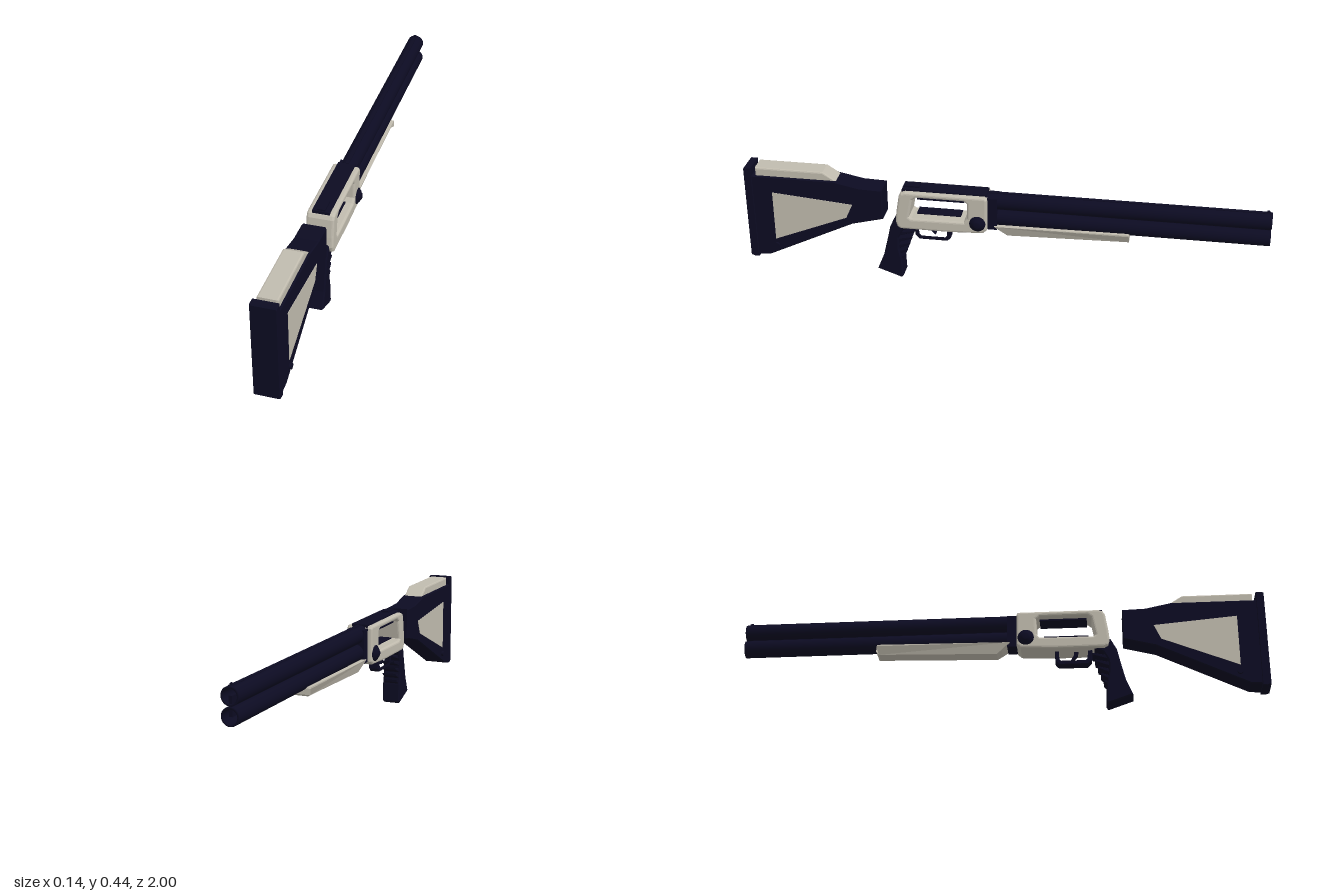
import * as THREE from 'three';

export function createModel() {
  const navy = new THREE.MeshStandardMaterial({ color: 0x0c0b22 });
  navy.name = 'dark navy';
  const beige = new THREE.MeshStandardMaterial({ color: 0xc0bbae });
  beige.name = 'warm beige';
  const model = new THREE.Group();
  model.name = 'shotgun';

  const add = (name, geometry, material) => {
    const mesh = new THREE.Mesh(geometry, material);
    mesh.name = name;
    model.add(mesh);
    return mesh;
  };
  const toPoints = (list) => list.map(([z, y]) => new THREE.Vector2(z, y));

  // Side profile of [z, y] points, extruded across x and centred on x = 0
  const profile = (points, width, bevel = 0, holes = [], segments = 1) => {
    const shape = new THREE.Shape(toPoints(points));
    for (const hole of holes) shape.holes.push(new THREE.Path(toPoints(hole)));
    const geometry = new THREE.ExtrudeGeometry(shape, {
      depth: width - 2 * bevel, bevelEnabled: bevel > 0, bevelSize: bevel,
      bevelThickness: bevel, bevelOffset: -bevel, bevelSegments: segments,
    });
    geometry.translate(0, 0, bevel - width / 2);
    return geometry.rotateY(-Math.PI / 2);
  };
  const box = (name, w, h, d, x, y, z, material) =>
    add(name, new THREE.BoxGeometry(w, h, d).translate(x, y, z), material);

  // Stock with butt pad and raised cheek rest
  add('stock', profile([
    [0.975, 0.06], [0.975, 0.408], [0.647, 0.408], [0.55, 0.388], [0.46, 0.385],
    [0.46, 0.262], [0.583, 0.23], [0.925, 0.064],
  ], 0.09, 0.004), navy);
  add('buttPad', profile([
    [1, 0.058], [1, 0.436], [0.995, 0.441], [0.97, 0.441], [0.968, 0.054], [0.985, 0.053],
  ], 0.094, 0.002), navy);
  add('cheekRest', profile([
    [0.957, 0.4], [0.957, 0.44], [0.69, 0.44], [0.63, 0.4],
  ], 0.076, 0.006, [], 2), beige);
  for (const side of [1, -1]) {
    add('stockPanel', profile([
      [0.893, 0.139], [0.893, 0.342], [0.578, 0.315], [0.604, 0.257],
    ], 0.004), beige).position.x = side * 0.0445;
  }
  add('slingPin', new THREE.CylinderGeometry(0.011, 0.011, 0.108, 16)
    .rotateZ(Math.PI / 2).translate(0, 0.112, 0.89), navy);

  // Receiver with an open window through both sides
  add('receiver', profile([
    [0.41, 0.26], [0.406, 0.3], [0.395, 0.368], [0.387, 0.381], [0.37, 0.387],
    [0.065, 0.387], [0.056, 0.378], [0.056, 0.25], [0.072, 0.236], [0.2, 0.23],
    [0.39, 0.23], [0.403, 0.238],
  ], 0.104, 0.009, [[
    [0.357, 0.283], [0.343, 0.356], [0.328, 0.367], [0.145, 0.367],
    [0.132, 0.356], [0.132, 0.294], [0.145, 0.278], [0.348, 0.276],
  ]], 3), beige);
  box('topRail', 0.066, 0.014, 0.325, 0, 0.386, 0.222, navy);
  box('windowCeiling', 0.07, 0.006, 0.18, 0, 0.357, 0.235, navy);
  box('windowFloor', 0.05, 0.004, 0.17, 0, 0.289, 0.245, navy);
  box('rearSight', 0.03, 0.008, 0.06, 0, 0.395, 0.35, navy);

  // Stepped hinge pin caps
  for (const side of [1, -1]) {
    const cap = [[0, 0], [0.031, 0], [0.031, 0.007], [0.025, 0.009], [0.024, 0.013],
      [0.014, 0.018], [0.012, 0.021], [0, 0.021]].map(([r, h]) => new THREE.Vector2(r, h));
    add('hingePin', new THREE.LatheGeometry(cap, 24)
      .rotateZ(-side * Math.PI / 2).translate(side * 0.047, 0.278, 0.092), navy);
  }

  // Over-and-under barrels with open bores
  for (const y of [0.357, 0.289]) {
    const tube = [[0, 0.12], [0.026, 0.12], [0.026, 0], [0.033, 0], [0.033, 0.004], [0.033, 1.08]]
      .map(([r, h]) => new THREE.Vector2(r, h));
    const geometry = new THREE.LatheGeometry(tube, 28).rotateX(Math.PI / 2).translate(0, y, -1);
    const barrel = add('barrel', geometry, navy);
    barrel.geometry.computeBoundingSphere();
  }
  box('barrelRib', 0.012, 0.07, 1.05, 0, 0.323, -0.47, navy);
  box('topRib', 0.014, 0.008, 1.05, 0, 0.388, -0.47, navy);
  box('frontSight', 0.008, 0.008, 0.012, 0, 0.394, -0.985, navy);
  box('hingeBlock', 0.07, 0.13, 0.05, 0, 0.314, 0.045, navy);

  // Fore-end, narrowed towards its underside
  const foreEnd = profile([
    [0.03, 0.265], [-0.478, 0.272], [-0.482, 0.266], [-0.482, 0.243],
    [-0.474, 0.236], [-0.02, 0.224], [0, 0.236],
  ], 0.084);
  const p = foreEnd.attributes.position;
  for (let i = 0; i < p.count; i++) if (p.getY(i) < 0.24) p.setX(i, p.getX(i) * 0.65);
  foreEnd.computeVertexNormals();
  add('foreEnd', foreEnd, beige);

  // Grip with slanted finger ribs
  add('grip', profile([
    [0.412, 0.27], [0.436, 0.225], [0.448, 0.17], [0.465, 0.1], [0.491, 0.036],
    [0.397, 0.003], [0.39, 0.012], [0.393, 0.08], [0.404, 0.13], [0.404, 0.18],
    [0.385, 0.215], [0.34, 0.235], [0.36, 0.255],
  ], 0.074, 0.005), navy);
  for (let i = 0; i < 5; i++) {
    const y = 0.203 - i * 0.028;
    const tip = 0.342 + i * 0.01;
    add('gripRib', profile([
      [0.415, y - 0.02], [0.415, y - 0.002], [tip, y + 0.012], [tip + 0.002, y + 0.003],
    ], 0.06, 0.002), navy);
  }

  // Trigger guard and curved trigger
  add('triggerGuard', profile([
    [0.345, 0.24], [0.34, 0.19], [0.325, 0.174], [0.215, 0.174], [0.202, 0.188], [0.2, 0.24],
  ], 0.04, 0.003, [[
    [0.33, 0.236], [0.327, 0.197], [0.318, 0.187], [0.222, 0.187], [0.214, 0.196], [0.214, 0.236],
  ]]), navy);
  add('trigger', profile([
    [0.292, 0.24], [0.286, 0.215], [0.266, 0.193], [0.261, 0.196], [0.273, 0.218], [0.272, 0.24],
  ], 0.018), navy);

  return model;
}
